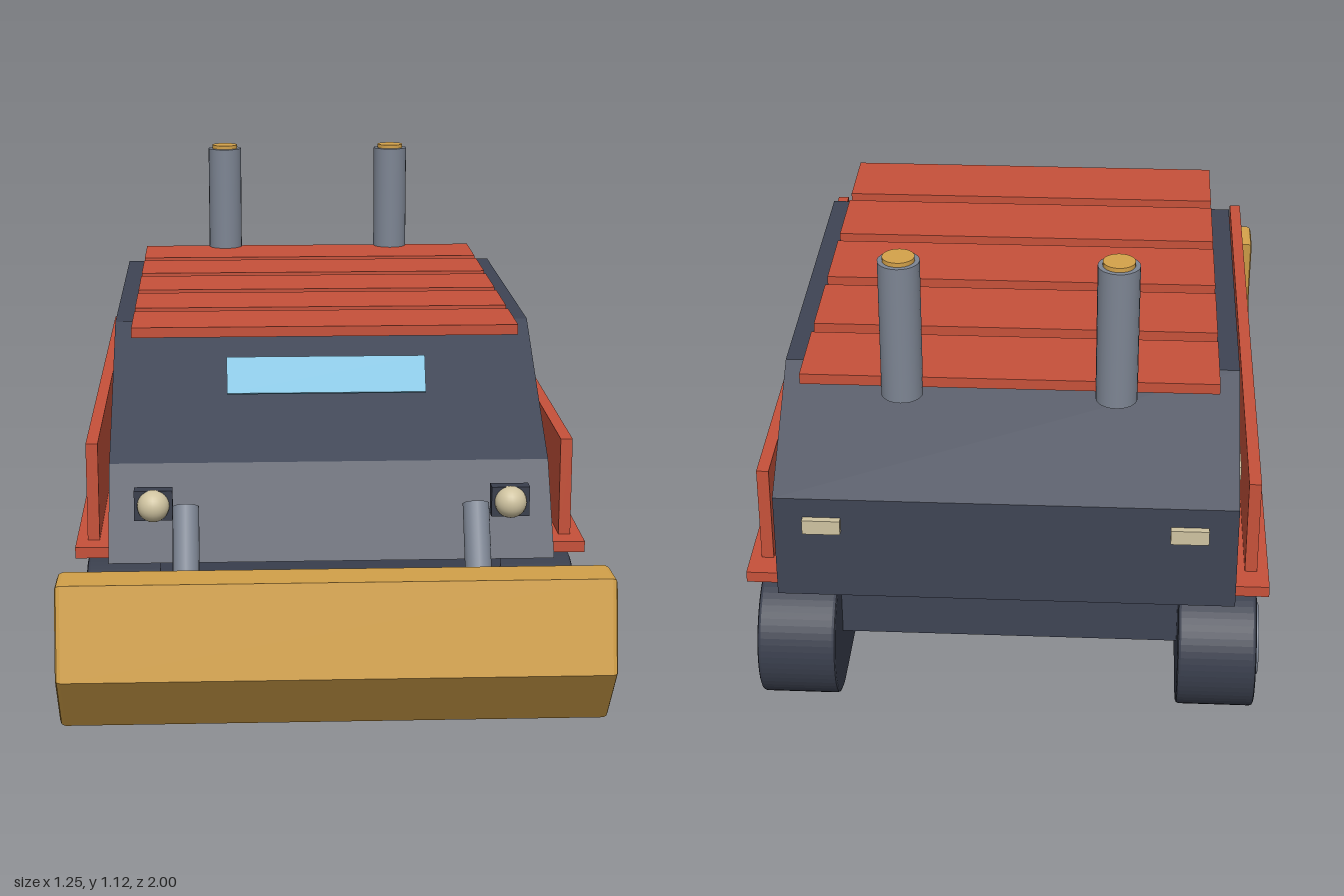
import * as THREE from 'three';

const mat = (name, color) => {
  const m = new THREE.MeshStandardMaterial({ color });
  m.name = name;
  return m;
};

export function createModel() {
  const root = new THREE.Group();
  root.name = 'armouredDozer';
  const hullDark = mat('hull slate', 0x3e4454);
  const trackDark = mat('track slate', 0x393e4c);
  const red = mat('armour red', 0xc6513a);
  const gold = mat('blade gold', 0xd4a24a);
  const steel = mat('steel grey', 0x7d8593);
  const glass = mat('window blue', 0x72bbdc);
  const cream = mat('lamp cream', 0xcfc3a0);

  const add = (name, geo, material, x = 0, y = 0, z = 0, parent = root) => {
    const m = new THREE.Mesh(geo, material);
    m.name = name;
    m.position.set(x, y, z);
    parent.add(m);
    return m;
  };
  const box = (w, h, d) => new THREE.BoxGeometry(w, h, d);

  // Side profile in (z, y), extruded across x and centred; bevel keeps overall size
  const across = (shape, width, bevel = 0) => {
    const g = new THREE.ExtrudeGeometry(shape, {
      depth: width - 2 * bevel, curveSegments: 16, bevelEnabled: bevel > 0,
      bevelSize: bevel, bevelThickness: bevel, bevelOffset: -bevel, bevelSegments: 2,
    });
    g.translate(0, 0, -(width - 2 * bevel) / 2);
    return g.rotateY(-Math.PI / 2);
  };
  const poly = (pts) => new THREE.Shape(pts.map(([z, y]) => new THREE.Vector2(z, y)));

  // Hull and belly
  add('hull', across(poly([
    [-0.975, 0.345], [0.715, 0.345], [0.58, 0.547], [0.49, 0.6],
    [0.16, 0.8], [-0.7, 0.8], [-0.975, 0.6],
  ]), 1.035), hullDark);
  add('belly', box(0.8, 0.2, 1.5), hullDark, 0, 0.255, -0.1);

  // Roof armour plates
  for (let i = 0; i < 5; i++) {
    add('roofPlate', box(0.94, 0.025, 0.2), red, 0, 0.8125, 0.255 - i * 0.2415);
  }

  // Windscreen plate
  add('windscreen', box(0.48, 0.092, 0.009), glass, 0, 0.715, 0.402).rotation.x = -0.53;

  // Dozer blade
  add('blade', across(poly([
    [0.957, 0.373], [0.843, 0.368], [0.865, 0.17], [0.742, 0.036],
    [0.748, 0.016], [0.884, 0.016], [1.003, 0.163],
  ]), 1.25, 0.012), gold);

  // Track outline: a stadium
  const r = 0.157, front = 0.58, back = -0.838, cy = 0.162;
  const stadium = new THREE.Shape();
  stadium.moveTo(back, cy - r);
  stadium.lineTo(front, cy - r);
  stadium.absarc(front, cy, r, -Math.PI / 2, Math.PI / 2, false);
  stadium.lineTo(back, cy + r);
  stadium.absarc(back, cy, r, Math.PI / 2, Math.PI * 1.5, false);
  const trackGeo = across(stadium, 0.18, 0.008);
  const wheelGeo = new THREE.CylinderGeometry(0.083, 0.083, 0.03, 24).rotateZ(Math.PI / 2);
  const lugGeo = box(0.16, 0.018, 0.026);

  for (const s of [1, -1]) {
    const side = s > 0 ? 'left' : 'right';

    // Running gear
    const gear = new THREE.Group();
    gear.name = side + 'Track';
    root.add(gear);
    add('trackBelt', trackGeo, trackDark, s * 0.482, 0, 0, gear);
    for (let i = 0; i < 10; i++) {
      add('roadWheel', wheelGeo, steel, s * 0.566, 0.163, 0.586 - i * 0.1585, gear);
    }
    for (let i = 0; i < 20; i++) {
      add('trackLug', lugGeo, trackDark, s * 0.482, 0.324, 0.55 - i * 0.0715, gear);
    }

    // Fender shelf and side skirt
    add(side + 'Fender', box(0.08, 0.026, 1.6), red, s * 0.556, 0.357, -0.132);
    add(side + 'Skirt', box(0.028, 0.235, 1.48), red, s * 0.556, 0.486, -0.13);

    // Slits behind the skirt, and tail lamps
    for (const z of [-0.62, -0.425, -0.235]) {
      add(side + 'SideSlit', box(0.009, 0.035, 0.11), cream, s * 0.53, 0.51, z);
    }
    add(side + 'TailLamp', box(0.085, 0.035, 0.018), cream, s * 0.41, 0.535, -0.982);

    // Exhaust stack
    add(side + 'Exhaust', new THREE.CylinderGeometry(0.047, 0.047, 0.332, 24), steel, s * 0.24, 0.946, -0.805);
    add(side + 'ExhaustCap', new THREE.CylinderGeometry(0.036, 0.036, 0.012, 24), gold, s * 0.24, 1.116, -0.805);

    // Headlamp on its mount
    add(side + 'LampMount', box(0.088, 0.07, 0.035), trackDark, s * 0.411, 0.487, 0.712);
    add(side + 'Headlamp', new THREE.SphereGeometry(0.037, 24, 16), cream, s * 0.411, 0.487, 0.73);

    // Blade push arm
    const arm = add(side + 'PushArm', new THREE.CylinderGeometry(0.031, 0.031, 0.3, 20), steel, s * 0.338, 0.333, 0.735);
    arm.rotation.x = -0.49;
  }
  return root;
}
